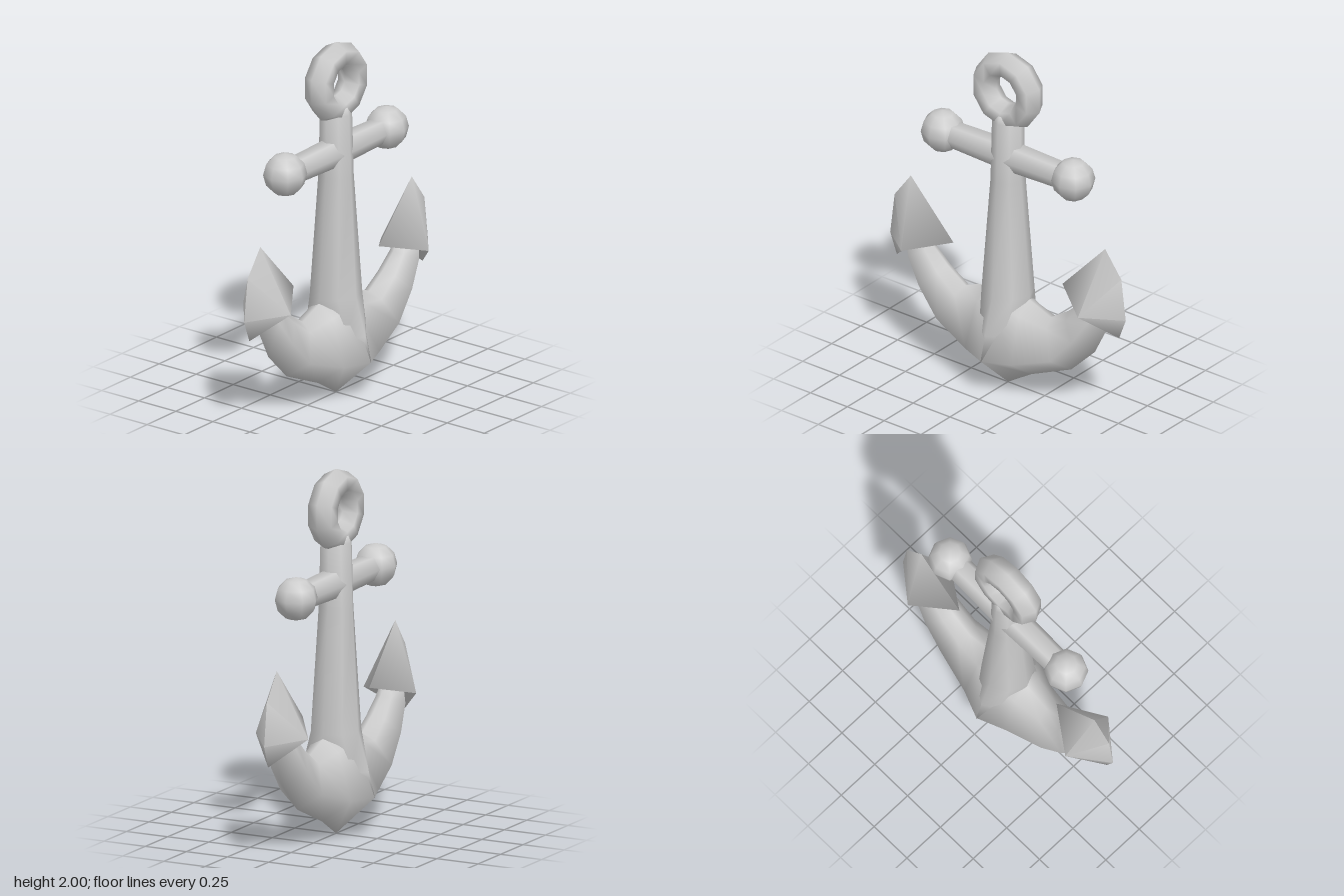
import * as THREE from 'three';
import { toCreasedNormals } from 'three/addons/utils/BufferGeometryUtils.js';

const CREASE = 1.8;

function soup(points) {
  const g = new THREE.BufferGeometry();
  g.setAttribute('position', new THREE.Float32BufferAttribute(points.flat(), 3));
  return toCreasedNormals(g, CREASE);
}

// Skin a row of equal-length loops and close both ends
function loft(loops) {
  const pts = [], n = loops[0].length, last = loops[loops.length - 1];
  for (let i = 0; i < loops.length - 1; i++) {
    for (let j = 0; j < n; j++) {
      const k = (j + 1) % n;
      const a = loops[i][j], b = loops[i][k], c = loops[i + 1][k], d = loops[i + 1][j];
      pts.push(a, b, c, a, c, d);
    }
  }
  for (let j = 1; j < n - 1; j++) {
    pts.push(loops[0][0], loops[0][j + 1], loops[0][j]);
    pts.push(last[0], last[j], last[j + 1]);
  }
  return soup(pts);
}

// Six-sided arm section between an outer (keel) point and an inner point,
// widest at the given fraction of the way in
function armSection([ox, oy, ix, iy, w, ridge], side) {
  const at = (t, z) => [side * (ox + (ix - ox) * t), oy + (iy - oy) * t, z];
  return [at(1, 0), at(0.85, w * 0.52), at(ridge, w), at(0, 0), at(ridge, -w), at(0.85, -w * 0.52)];
}

// Arrow-shaped fluke, mirrored front to back and side to side
function flukeGeometry(side) {
  const rim = [[0.755, 0.52, 0], [0.80, 0.64, 0], [0.77, 0.88, 0], [0.66, 1.03, 0], [0.37, 0.72, 0], [0.59, 0.71, 0]];
  const barb = [0.6, 0.66, 0.16];
  const pts = [];
  for (const sz of [1, -1]) {
    const m = ([x, y, z]) => [side * x, y, sz * z];
    rim.forEach((p, i) => {
      const q = rim[(i + 1) % rim.length];
      if (side * sz > 0) pts.push(m(barb), m(p), m(q));
      else pts.push(m(barb), m(q), m(p));
    });
  }
  return soup(pts);
}

export function createModel() {
  const group = new THREE.Group();
  group.name = 'anchor';
  const iron = new THREE.MeshStandardMaterial({ color: 0xcccccc });
  iron.name = 'grey iron';
  const add = (name, geometry, x = 0, y = 0, z = 0) => {
    const mesh = new THREE.Mesh(geometry, iron);
    mesh.name = name;
    mesh.position.set(x, y, z);
    group.add(mesh);
    return mesh;
  };

  // Ring at the top
  const ring = new THREE.TorusGeometry(0.152, 0.073, 6, 10);
  ring.rotateZ(Math.PI / 10).scale(1, 1, 1.12);
  add('ring', ring, 0, 1.775, 0);

  // Tapered eight-sided shank: y, half width, half depth
  const shank = [
    [0.22, 0.04, 0.238], [0.36, 0.12, 0.2], [0.57, 0.148, 0.136],
    [1.25, 0.089, 0.1], [1.6, 0.085, 0.088], [1.64, 0.065, 0.075],
  ].map(([y, rx, rz]) => Array.from({ length: 8 }, (_, i) => {
    const a = i * Math.PI / 4;
    return [rx * Math.sin(a), y, rz * Math.cos(a)];
  }));
  add('shank', loft(shank));

  // Crossbar, slightly slimmer outwards, with a ball at each end
  for (const s of [1, -1]) {
    const side = s > 0 ? 'left' : 'right';
    const bar = new THREE.CylinderGeometry(0.072, 0.083, 0.4, 6);
    bar.rotateZ(-s * Math.PI / 2);
    add(side + 'Crossbar', bar, s * 0.2, 1.378, 0);
    add(side + 'Ball', new THREE.SphereGeometry(0.119, 8, 6), s * 0.443, 1.38, 0);
  }

  // Both curved arms as one skin: outer x, y, inner x, y, half depth, ridge
  const half = [
    [0.16, 0.1, 0.14, 0.55, 0.175, 0.28], [0.43, 0.22, 0.29, 0.49, 0.128, 0.32],
    [0.59, 0.38, 0.41, 0.57, 0.112, 0.4], [0.68, 0.56, 0.5, 0.65, 0.09, 0.4],
    [0.71, 0.64, 0.54, 0.73, 0.06, 0.4],
  ];
  add('arms', loft([
    ...half.slice().reverse().map(s => armSection(s, -1)),
    armSection([0, 0, 0, 0.62, 0.236, 0.36], 1),
    ...half.map(s => armSection(s, 1)),
  ]));

  // Flukes on the arm tips
  add('leftFluke', flukeGeometry(1));
  add('rightFluke', flukeGeometry(-1));

  return group;
}
